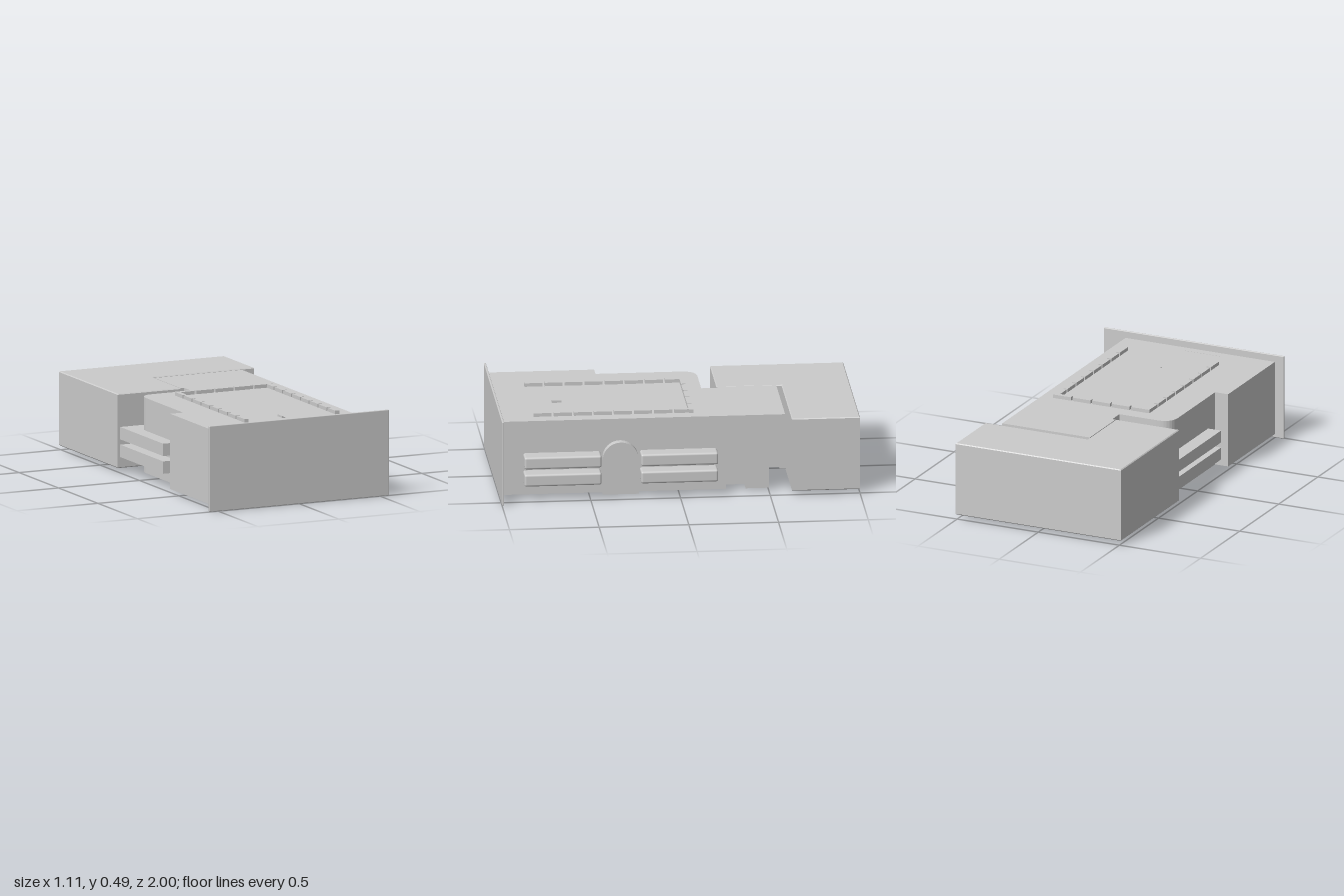
import * as THREE from 'three';
import { RoundedBoxGeometry } from 'three/addons/geometries/RoundedBoxGeometry.js';

export function createModel() {
  const model = new THREE.Group();
  const grey = new THREE.MeshStandardMaterial({ color: 0xcccccc });

  const add = (name, geometry) => {
    const mesh = new THREE.Mesh(geometry, grey);
    mesh.name = name;
    model.add(mesh);
    return mesh;
  };
  // Box given by its low and high limits, optionally rounded
  const box = (name, [x0, x1], [y0, y1], [z0, z1], r = 0) => {
    const s = [x1 - x0, y1 - y0, z1 - z0];
    const g = r ? new RoundedBoxGeometry(...s, 2, r) : new THREE.BoxGeometry(...s);
    g.translate((x0 + x1) / 2, (y0 + y1) / 2, (z0 + z1) / 2);
    return add(name, g);
  };
  // Plan outline in x and z, extruded between two heights
  const slab = (name, shape, y0, y1) => {
    const g = new THREE.ExtrudeGeometry(shape, { depth: y1 - y0, bevelEnabled: false, curveSegments: 8 });
    g.rotateX(Math.PI / 2).translate(0, y1, 0);
    return add(name, g);
  };
  const polygon = (points) => new THREE.Shape(points.map(([x, z]) => new THREE.Vector2(x, z)));
  const rectHole = (x0, x1, z0, z1) =>
    new THREE.Path([[x0, z0], [x0, z1], [x1, z1], [x1, z0]].map(([x, z]) => new THREE.Vector2(x, z)));

  // Casing outline: rounded rear left corner, narrower tail on the left side
  const casing = (tailEnd) => {
    const s = new THREE.Shape();
    s.moveTo(-0.5, 0.99);
    s.lineTo(0.42, 0.99);
    s.lineTo(0.42, tailEnd);
    s.lineTo(-0.12, tailEnd);
    s.lineTo(-0.12, -0.26);
    s.lineTo(-0.1, -0.26);
    s.lineTo(-0.1, -0.17);
    s.lineTo(-0.33, -0.17);
    s.quadraticCurveTo(-0.42, -0.17, -0.42, -0.08);
    s.lineTo(-0.42, 0.39);
    s.lineTo(-0.5, 0.39);
    s.closePath();
    return s;
  };
  slab('casing', casing(-0.261), 0.02, 0.425);

  // Thin cover with a recessed pocket and a small square opening
  const cover = casing(-0.59);
  cover.holes.push(rectHole(-0.19, 0.03, 0.62, 0.94), rectHole(0.05, 0.11, 0.62, 0.68));
  slab('cover', cover, 0.425, 0.445);

  // Tail with two notches in its underside
  box('tail', [-0.12, 0.42], [0.19, 0.425], [-0.59, -0.26]);
  box('tailFoot', [-0.12, 0.42], [0.02, 0.19], [-0.5, -0.37]);
  box('tailFloor', [-0.12, 0.34], [0.02, 0.19], [-0.37, -0.26]);
  box('connector', [-0.12, 0.42], [0.14, 0.19], [-0.59, -0.5]);
  for (let i = 0; i < 12; i++) {
    const x = -0.1 + i * 0.044;
    box('connectorTooth', [x, x + 0.022], [0.125, 0.14], [-0.59, -0.56]);
  }

  // Front plate
  box('frontPlate', [-0.555, 0.555], [0, 0.485], [0.988, 1], 0.004);

  // Raised seams on the cover, broken into short lengths
  for (const x of [-0.23, 0.33]) {
    for (let i = 0; i < 8; i++) {
      const z = -0.08 + i * 0.112;
      box('coverSeam', [x - 0.013, x + 0.013], [0.44, 0.465], [z, z + 0.1]);
    }
  }
  for (let i = 0; i < 5; i++) {
    const x = -0.24 + i * 0.12;
    box('rearSeam', [x, x + 0.11], [0.44, 0.465], [-0.085, -0.06]);
  }

  // Left side rails in two tiers, with an arched boss between them
  for (const y of [0.09, 0.19]) {
    for (const z of [[-0.21, 0.22], [0.44, 0.87]]) {
      box('sideRail', [0.4, 0.51], [y, y + 0.07], z, 0.012);
    }
  }
  const arch = new THREE.Shape();
  arch.moveTo(-0.43, 0.02);
  arch.lineTo(-0.23, 0.02);
  arch.lineTo(-0.23, 0.22);
  arch.absarc(-0.33, 0.22, 0.1, 0, Math.PI, false);
  arch.closePath();
  add('archedBoss', new THREE.ExtrudeGeometry(arch, { depth: 0.055, bevelEnabled: false, curveSegments: 12 })
    .rotateY(Math.PI / 2).translate(0.41, 0, 0));

  // Right side rails, turning round the casing corner
  const wrap = polygon([[-0.5, 0.3], [-0.4, 0.3], [-0.4, -0.08], [-0.33, -0.15],
    [-0.15, -0.15], [-0.15, -0.245], [-0.5, -0.245]]);
  for (const y of [0.09, 0.19]) slab('wrapRail', wrap, y, y + 0.07);

  // L-shaped rear housing
  const housing = polygon([[-0.505, -0.995], [0.505, -0.995], [0.505, -0.625], [-0.125, -0.625],
    [-0.125, -0.262], [-0.505, -0.262]]);
  const housingGeometry = new THREE.ExtrudeGeometry(housing, {
    depth: 0.41, bevelEnabled: true, bevelThickness: 0.005, bevelSize: 0.005, bevelOffset: 0, bevelSegments: 1,
  });
  housingGeometry.rotateX(Math.PI / 2).translate(0, 0.44, 0);
  add('rearHousing', housingGeometry);

  return model;
}
